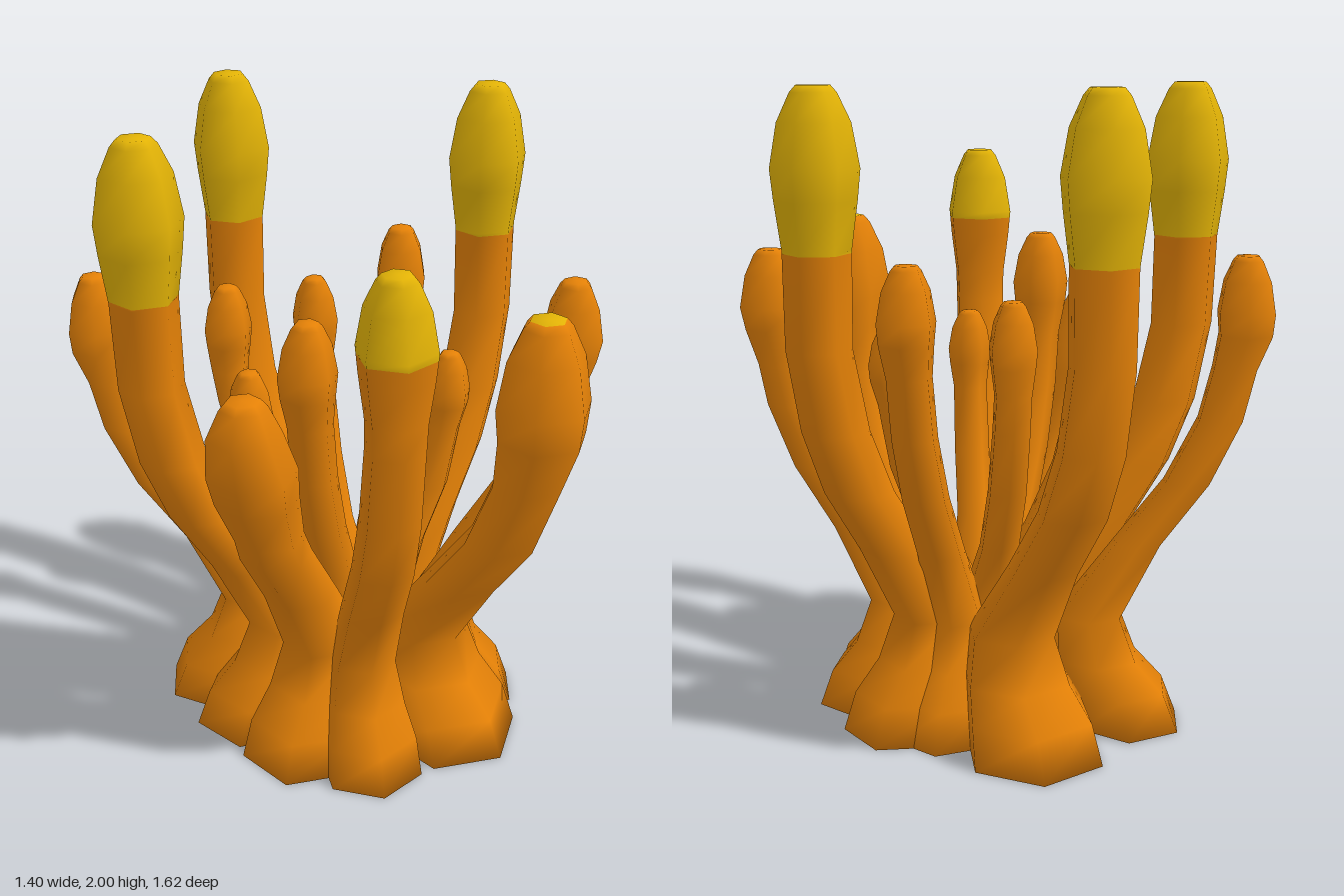
import * as THREE from 'three';

const SIDES = 6;
const CUT = 1.53; // height above which the fingers are yellow
const WAIST = 0.36; // height of the narrow part above the foot

// Lower stem: height, share of the outward lean, radius factor
const STEM = [
  [0, 0.56, 1.45], [0.12, 0.51, 1.36], [0.22, 0.42, 1.14], [WAIST, 0.38, 0.92],
  [0.6, 0.58, 0.85], [0.8, 0.78, 0.82], [1.0, 0.91, 0.79], [1.25, 0.99, 0.76],
];
// Bulb: distance below the top in radii, radius factor
const BULB = [[3.6, 0.78], [2.5, 0.93], [1.8, 1], [0.8, 0.82], [0.16, 0.52], [0, 0.38]];

// Outer fingers: tip x, tip z, top height, bulb radius, hexagon turn in degrees,
// then optionally root x, root z, foot scale and climb
const OUTER = [
  [0.105, -0.695, 2.0, 0.13, 0, 0.10, -0.04, 1.18, 1.13],
  [-0.578, -0.29, 2.0, 0.132, 26, 0, 0, 1.03],
  [0.597, -0.015, 2.0, 0.128, 30, -0.02, -0.015, 1, 1.05],
  [-0.363, 0.52, 1.76, 0.116, 0, -0.1, 0.05],
  [0.085, 0.667, 1.55, 0.145, 30, 0.07, -0.04, 1.07, 1.14],
  [-0.6, 0.165, 1.36, 0.134, 30, 0.02, 0, 1.07],
  [-0.53, -0.61, 1.5, 0.095, 10, 0.02, -0.12, 1.28],
  [0.508, 0.435, 1.49, 0.1, 15, 0.03, 0, 1.1],
  [0.45, -0.25, 1.51, 0.09, 15, 0, 0, 1.2],
  [-0.34, 0.145, 1.51, 0.09, 30, 0.05, -0.02, 1.3],
];

// Small inner fingers: tip x, tip z, top height, bulb radius, hexagon turn
const INNER = [
  [0.14, -0.34, 1.39, 0.077, 0],
  [-0.115, -0.478, 1.39, 0.079, 25],
  [-0.31, -0.15, 1.255, 0.073, 0],
  [-0.137, 0.265, 1.255, 0.07, 30],
  [0.235, 0.172, 1.255, 0.07, 30],
];

// Share of the outward lean at a height; climb makes a stem straighten sooner
function leanAt(height, climb) {
  const y = height > WAIST ? WAIST + (height - WAIST) * climb : height;
  for (let i = 1; i < STEM.length; i++) {
    const [y0, f0] = STEM[i - 1], [y1, f1] = STEM[i];
    if (y <= y1) return f0 + (f1 - f0) * (y - y0) / (y1 - y0);
  }
  return 1;
}

// Heights and radii of the cross-sections, with one exactly at the colour cut
function sections(top, radius, foot) {
  const neck = top - BULB[0][0] * radius;
  const rings = STEM.filter(([y]) => y < neck - 0.05)
    .map(([y, , r]) => [y, r * radius * (y <= WAIST ? foot : 1)]);
  for (const [d, r] of BULB) rings.push([top - d * radius, r * radius]);
  const i = rings.findIndex(([y]) => y > CUT);
  if (top > CUT + 0.05 && CUT - rings[i - 1][0] > 0.001) {
    const [y0, r0] = rings[i - 1], [y1, r1] = rings[i];
    rings.splice(i, 0, [CUT, r0 + (r1 - r0) * (CUT - y0) / (y1 - y0)]);
  }
  return rings;
}

function fingerGeometry([x, z, top, radius, turn, rootX = 0, rootZ = 0, foot = 1, climb = 1]) {
  const rings = sections(top, radius, foot);
  const pos = [], lower = [], upper = [];
  const centre = (y) => {
    const f = leanAt(y, climb);
    return [rootX + (x - rootX) * f, rootZ + (z - rootZ) * f];
  };
  for (const [y, r] of rings) {
    const [cx, cz] = centre(y);
    for (let j = 0; j < SIDES; j++) {
      const a = THREE.MathUtils.degToRad(turn) + j / SIDES * Math.PI * 2;
      pos.push(cx + r * Math.cos(a), y, cz + r * Math.sin(a));
    }
  }
  const addCentre = (y) => {
    const [cx, cz] = centre(y);
    pos.push(cx, y, cz);
    return pos.length / 3 - 1;
  };
  const topCentre = addCentre(top);
  const baseCentre = addCentre(0);

  // Side faces
  for (let i = 0; i < rings.length - 1; i++) {
    const list = rings[i][0] >= CUT - 0.001 ? upper : lower;
    for (let j = 0; j < SIDES; j++) {
      const a = i * SIDES + j, b = i * SIDES + (j + 1) % SIDES;
      list.push(a, a + SIDES, b, b, a + SIDES, b + SIDES);
    }
  }
  // Tip and underside
  const last = (rings.length - 1) * SIDES;
  for (let j = 0; j < SIDES; j++) {
    const k = (j + 1) % SIDES;
    (top > CUT ? upper : lower).push(topCentre, last + k, last + j);
    lower.push(baseCentre, j, k);
  }

  const geometry = new THREE.BufferGeometry();
  geometry.setAttribute('position', new THREE.Float32BufferAttribute(pos, 3));
  geometry.setIndex([...lower, ...upper]);
  geometry.addGroup(0, lower.length, 0);
  if (upper.length) geometry.addGroup(lower.length, upper.length, 1);
  geometry.computeVertexNormals();
  return geometry;
}

export function createModel() {
  const orange = new THREE.MeshStandardMaterial({ color: 0xe68207 });
  orange.name = 'orange';
  const yellow = new THREE.MeshStandardMaterial({ color: 0xe4b406 });
  yellow.name = 'yellow';

  const group = new THREE.Group();
  group.name = 'coral';
  const addFinger = (name, spec) => {
    const finger = new THREE.Mesh(fingerGeometry(spec), [orange, yellow]);
    finger.name = name;
    group.add(finger);
  };
  OUTER.forEach((spec, i) => addFinger(`outerFinger${i + 1}`, spec));
  // Inner fingers start closer to the middle, on wide feet
  INNER.forEach((spec, i) => addFinger(`innerFinger${i + 1}`,
    [...spec, -0.2 * spec[0], -0.2 * spec[1], 1.5, 1.25]));
  return group;
}
